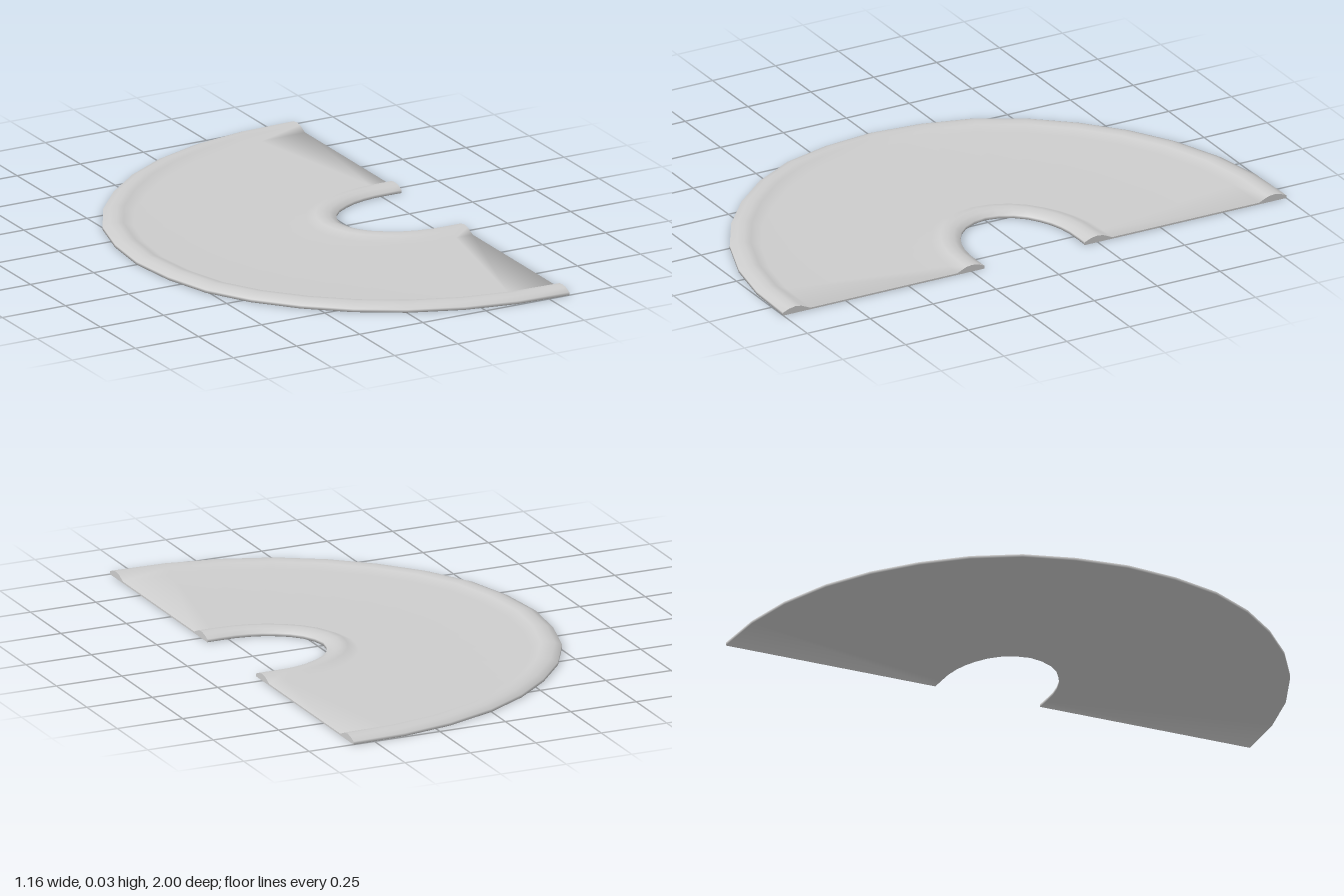
import * as THREE from 'three';

// Outline halves from the open end (x = 0.58) round to the middle, as [x, z]
const OUTER = [[0.58, 1], [0.38, 0.993], [0.19, 0.957], [0, 0.886], [-0.16, 0.79],
  [-0.3, 0.67], [-0.42, 0.53], [-0.51, 0.37], [-0.56, 0.19], [-0.58, 0]];
const INNER = [[0.58, 0.2], [0.46, 0.198], [0.36, 0.17], [0.27, 0.105], [0.23, 0]];

// Cross-section from the inner edge to the outer edge: [fraction of width, height]
const PROFILE = [[0, 0], [0, 0.011], [0.03, 0.021], [0.06, 0.025], [0.09, 0.022], [0.135, 0.006],
  [0.865, 0.006], [0.91, 0.022], [0.94, 0.025], [0.97, 0.021], [1, 0.011], [1, 0]];
const FLOOR = [5, 6];
const STEPS = 18;

// Completes a half outline by mirroring it in z
function fullOutline(half) {
  const back = half.map(([x, z]) => new THREE.Vector2(x, -z));
  const front = half.slice(0, -1).reverse().map(([x, z]) => new THREE.Vector2(x, z));
  return [...back, ...front];
}

// Sweeps the cross-section along the two outlines
function sweptTray() {
  const outer = fullOutline(OUTER);
  const inner = new THREE.SplineCurve(fullOutline(INNER));
  const n = PROFILE.length, pos = [], index = [];
  for (let i = 0; i <= STEPS; i++) {
    const a = inner.getPoint(i / STEPS), b = outer[i];
    for (const [t, y] of PROFILE) {
      const p = a.clone().lerp(b, t);
      pos.push(p.x, y, p.y);
    }
  }
  for (let i = 0; i < STEPS; i++) {
    for (let j = 0; j < n; j++) {
      const k = (j + 1) % n;
      const a = i * n + j, b = i * n + k, c = a + n, d = b + n;
      index.push(a, b, c, b, d, c);
    }
  }
  const geo = new THREE.BufferGeometry();
  geo.setAttribute('position', new THREE.Float32BufferAttribute(pos, 3));
  geo.setIndex(index);
  geo.computeVertexNormals();

  // Soften the floor and underside towards the open ends
  const normal = geo.attributes.normal;
  for (const start of [0, STEPS * n]) {
    for (const j of [...FLOOR, 0, n - 1]) {
      const v = new THREE.Vector3().fromBufferAttribute(normal, start + j);
      v.x += 1;
      v.normalize();
      normal.setXYZ(start + j, v.x, v.y, v.z);
    }
  }
  return geo;
}

// Flat end wall that closes the cross-section at x = 0.58
function endWall(side) {
  const shape = new THREE.Shape(
    PROFILE.map(([t, y]) => new THREE.Vector2(-side * (0.2 + 0.8 * t), y)));
  return new THREE.ShapeGeometry(shape).rotateY(Math.PI / 2).translate(0.58, 0, 0);
}

export function createModel() {
  const group = new THREE.Group();
  group.name = 'halfRingTray';
  const grey = new THREE.MeshStandardMaterial({ color: 0xcccccc });
  grey.name = 'lightGrey';

  const add = (name, geometry) => {
    const mesh = new THREE.Mesh(geometry, grey);
    mesh.name = name;
    group.add(mesh);
  };
  add('rimmedTray', sweptTray());
  add('frontEndWall', endWall(1));
  add('backEndWall', endWall(-1));
  return group;
}
